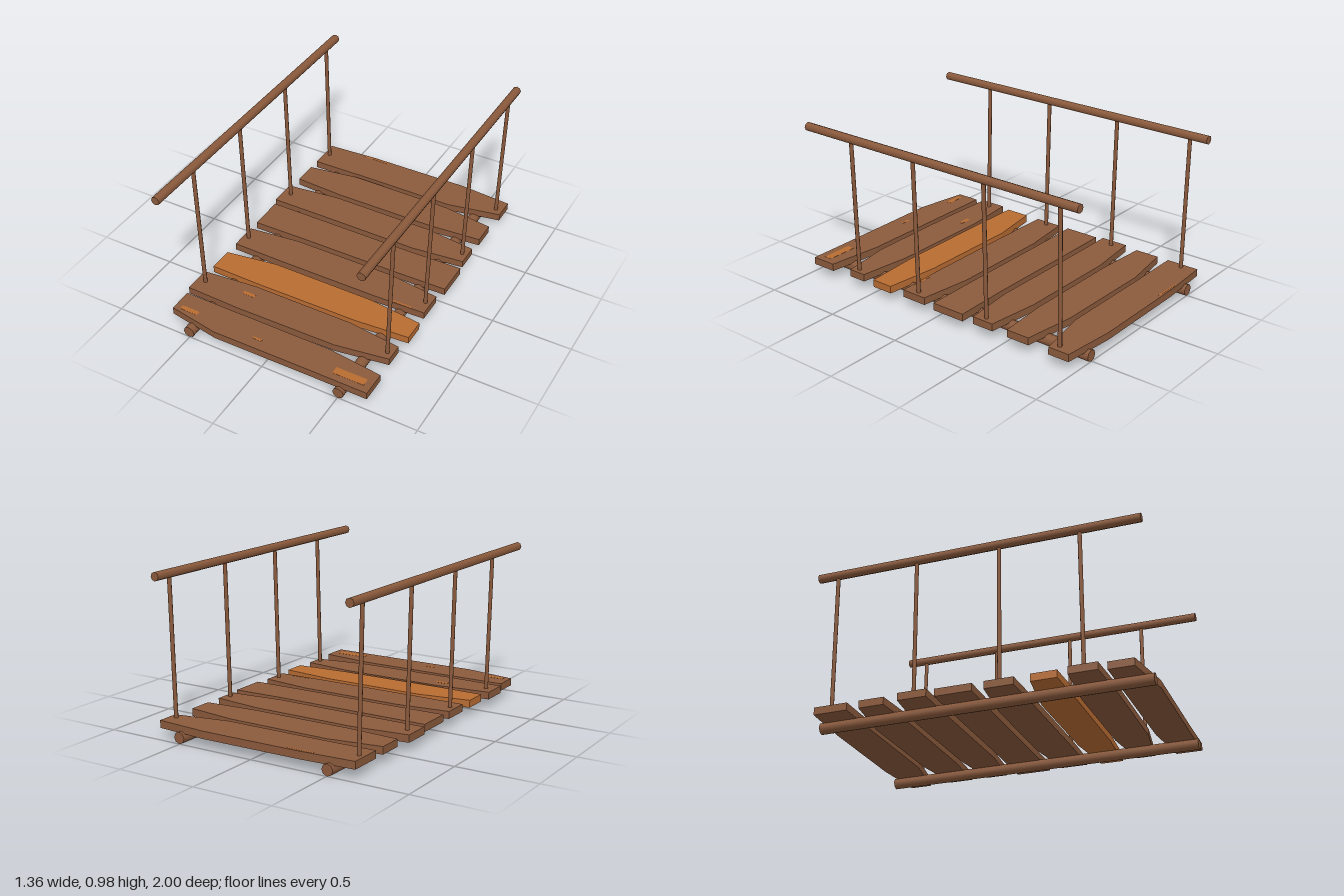
import * as THREE from 'three';

export function createModel() {
  const group = new THREE.Group();
  const brown = new THREE.MeshStandardMaterial({ name: 'brown wood', color: 0x8b5a3c });
  const orange = new THREE.MeshStandardMaterial({ name: 'orange wood', color: 0xb96c32 });

  function add(name, geometry, material = brown) {
    const mesh = new THREE.Mesh(geometry, material);
    mesh.name = name;
    group.add(mesh);
    return mesh;
  }

  // Round pole between two points
  function pole(name, a, b, radius) {
    const dir = b.clone().sub(a);
    const mesh = add(name, new THREE.CylinderGeometry(radius, radius, dir.length(), 8));
    mesh.position.copy(a).add(b).multiplyScalar(0.5);
    mesh.quaternion.setFromUnitVectors(new THREE.Vector3(0, 1, 0), dir.normalize());
  }

  // Hewn planks: left end, right end, back edge z and front edge z from left to right
  const planks = [
    [-0.66, 0.67, [-0.97, -0.99, -0.995, -0.965], [-0.76, -0.765, -0.765, -0.83]],
    [-0.66, 0.66, [-0.685, -0.735, -0.73, -0.685], [-0.53, -0.51, -0.51, -0.535]],
    [-0.68, 0.66, [-0.435, -0.475, -0.47, -0.43], [-0.26, -0.26, -0.255, -0.29]],
    [-0.66, 0.675, [-0.22, -0.22, -0.217, -0.225], [0.005, 0, 0, -0.005]],
    [-0.66, 0.66, [0.075, 0.037, 0.037, 0.08], [0.25, 0.255, 0.255, 0.245]],
    [-0.66, 0.675, [0.345, 0.295, 0.297, 0.335], [0.5, 0.505, 0.5, 0.475]],
    [-0.68, 0.66, [0.565, 0.53, 0.53, 0.57], [0.735, 0.745, 0.737, 0.685]],
    [-0.66, 0.675, [0.78, 0.78, 0.78, 0.82], [0.93, 0.985, 0.98, 0.98]],
  ];
  planks.forEach(([left, right, back, front], i) => {
    const xs = [left, -0.33, 0.33, right];
    const outline = [
      ...xs.map((x, k) => new THREE.Vector2(x, -front[k])),
      ...xs.map((x, k) => new THREE.Vector2(x, -back[k])).reverse(),
    ];
    const geometry = new THREE.ExtrudeGeometry(new THREE.Shape(outline), { depth: 0.046, bevelEnabled: false });
    geometry.rotateX(-Math.PI / 2).translate(0, 0.06, 0);
    add('plank' + (i + 1), geometry, i === 5 ? orange : brown);
  });

  // Worn orange patches: x, z, width, depth
  const patches = [
    [-0.56, 0.9, 0.12, 0.03], [0.53, 0.91, 0.2, 0.05], [-0.33, 0.61, 0.08, 0.025],
    [-0.08, 0.91, 0.06, 0.015], [-0.31, -0.975, 0.18, 0.01], [0.5, 0.24, 0.14, 0.012],
  ];
  for (const [x, z, w, d] of patches) {
    add('wornPatch', new THREE.BoxGeometry(w, 0.002, d), orange).position.set(x, 0.106, z);
  }

  // Support beams, handrails and leaning posts on both sides
  for (const side of [-1, 1]) {
    const label = side > 0 ? 'left' : 'right';
    const point = (x, y, z) => new THREE.Vector3(side * x, y, z);
    pole(label + 'Beam', point(0.503, 0.037, -1), point(0.503, 0.037, 1), 0.036);
    pole(label + 'Handrail', point(0.643, 0.957, -1), point(0.643, 0.957, 1), 0.027);
    for (const z of [0.64, 0.155, -0.36, -0.875]) {
      pole(label + 'Post', point(0.624, 0.09, z), point(0.643, 0.95, z), 0.0125);
    }
  }
  return group;
}
